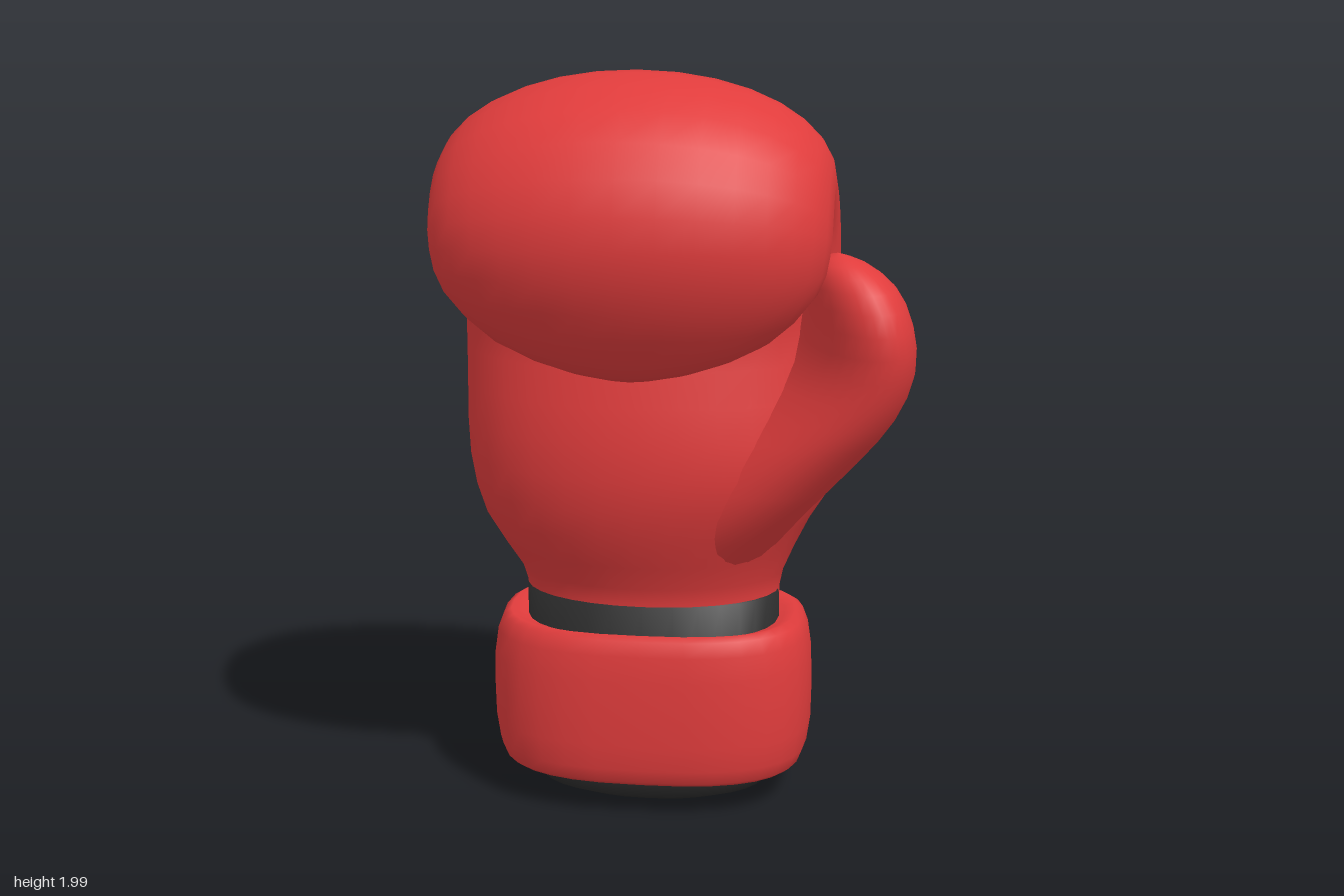
import * as THREE from 'three';

const red = new THREE.MeshStandardMaterial({ color: 0xe03c3c, roughness: 0.7 });
const dark = new THREE.MeshStandardMaterial({ color: 0x2b2b2b, roughness: 0.8 });

// Skin over rings [backZ, backY, frontZ, frontY, xMin, xMax]; each ring is a
// superellipse with the given exponent, its front leaning towards +x by lean.
function loft(name, rings, material, { exponent, sub = 2, lean = 0, sides = 32 }) {
  const curve = (f) => new THREE.CatmullRomCurve3(rings.map(f), false, 'catmullrom', 0.5);
  const back = curve(([z, y, , , x]) => new THREE.Vector3(x, y, z));
  const front = curve(([, , z, y, , x]) => new THREE.Vector3(x, y, z));
  const rows = (rings.length - 1) * sub;
  const power = (v) => Math.sign(v) * Math.abs(v) ** (2 / exponent);
  const positions = [], index = [];
  for (let i = 0; i <= rows; i++) {
    const b = back.getPoint(i / rows), f = front.getPoint(i / rows);
    const c = b.clone().add(f).multiplyScalar(0.5);
    const h = b.clone().sub(c);
    for (let j = 0; j < sides; j++) {
      const t = (j / sides) * Math.PI * 2;
      const u = power(Math.cos(t)), v = power(Math.sin(t));
      positions.push(c.x - h.x * u + lean * h.z * v, c.y + h.y * v, c.z + h.z * v);
      if (i === rows) continue;
      const k = (j + 1) % sides, p = i * sides, q = p + sides;
      index.push(p + j, p + k, q + k, p + j, q + k, q + j);
    }
  }
  const geometry = new THREE.BufferGeometry();
  geometry.setAttribute('position', new THREE.Float32BufferAttribute(positions, 3));
  geometry.setIndex(index);
  geometry.computeVertexNormals();
  const mesh = new THREE.Mesh(geometry, material);
  mesh.name = name;
  return mesh;
}

// Level ring around the wrist axis: height, half width, half depth
const level = ([y, w, d]) => [-0.175 - d, y, -0.175 + d, y, -0.105 - w, -0.105 + w];

export function createModel() {
  const glove = new THREE.Group();
  glove.name = 'boxingGlove';

  // Hand: rises from the wrist, rolls over the knuckles and curls into the palm
  glove.add(loft('hand', [
    [-0.4, 0.57, 0.05, 0.57, -0.45, 0.24],
    [-0.415, 0.64, 0.06, 0.64, -0.465, 0.25],
    [-0.48, 0.79, 0.13, 0.79, -0.56, 0.32],
    [-0.505, 0.96, 0.17, 0.96, -0.6, 0.415],
    [-0.5, 1.15, 0.155, 1.15, -0.605, 0.405],
    [-0.455, 1.4, 0.12, 1.33, -0.605, 0.395],
    [-0.38, 1.62, 0.16, 1.5, -0.605, 0.395],
    [-0.22, 1.84, 0.17, 1.49, -0.605, 0.395],
    [0, 1.975, 0.14, 1.47, -0.605, 0.395],
    [0.15, 2.0, 0.09, 1.47, -0.605, 0.395],
    [0.35, 1.93, 0.03, 1.48, -0.605, 0.395],
    [0.475, 1.78, 0, 1.5, -0.605, 0.395],
    [0.51, 1.61, 0, 1.53, -0.6, 0.39],
    [0.465, 1.45, 0.02, 1.5, -0.57, 0.36],
    [0.38, 1.325, 0.08, 1.4, -0.46, 0.25],
    [0.31, 1.265, 0.15, 1.31, -0.29, 0.08],
    [0.25, 1.245, 0.25, 1.245, -0.105, -0.105],
  ], red, { exponent: 2.05 }));

  // Thumb: grows out of the side of the hand to a rounded tip beside the fist
  glove.add(loft('thumb', [
    [-0.36, 0.7, 0.04, 0.7, -0.2, 0.2],
    [-0.41, 0.85, 0.13, 0.85, -0.12, 0.31],
    [-0.44, 1.0, 0.18, 1.0, 0.0, 0.44],
    [-0.42, 1.14, 0.213, 1.12, 0.14, 0.53],
    [-0.3, 1.27, 0.235, 1.25, 0.27, 0.58],
    [-0.17, 1.4, 0.25, 1.37, 0.315, 0.578],
    [-0.07, 1.48, 0.22, 1.47, 0.32, 0.54],
    [0.02, 1.535, 0.165, 1.53, 0.34, 0.47],
    [0.1, 1.557, 0.1, 1.557, 0.4, 0.4],
  ], red, { exponent: 2, lean: 0.3 }));

  // Dark lining: domed underside and band showing above the cuff
  glove.add(loft('lining', [
    [0.008, 0, 0], [0.011, 0.13, 0.09], [0.02, 0.24, 0.165], [0.045, 0.315, 0.21],
    [0.1, 0.345, 0.228], [0.3, 0.345, 0.228], [0.59, 0.345, 0.228], [0.59, 0, 0],
  ].map(level), dark, { exponent: 2.3, sub: 1 }));

  // Padded cuff with softly rolled rims
  glove.add(loft('cuff', [
    [0.1, 0.3, 0.19], [0.1, 0.395, 0.265], [0.112, 0.41, 0.278], [0.15, 0.425, 0.29],
    [0.22, 0.435, 0.296], [0.31, 0.437, 0.297], [0.4, 0.435, 0.296], [0.47, 0.425, 0.29],
    [0.51, 0.41, 0.28], [0.522, 0.39, 0.262], [0.51, 0.36, 0.235], [0.49, 0.3, 0.19],
  ].map(level), red, { exponent: 2.6, sub: 1 }));

  return glove;
}
